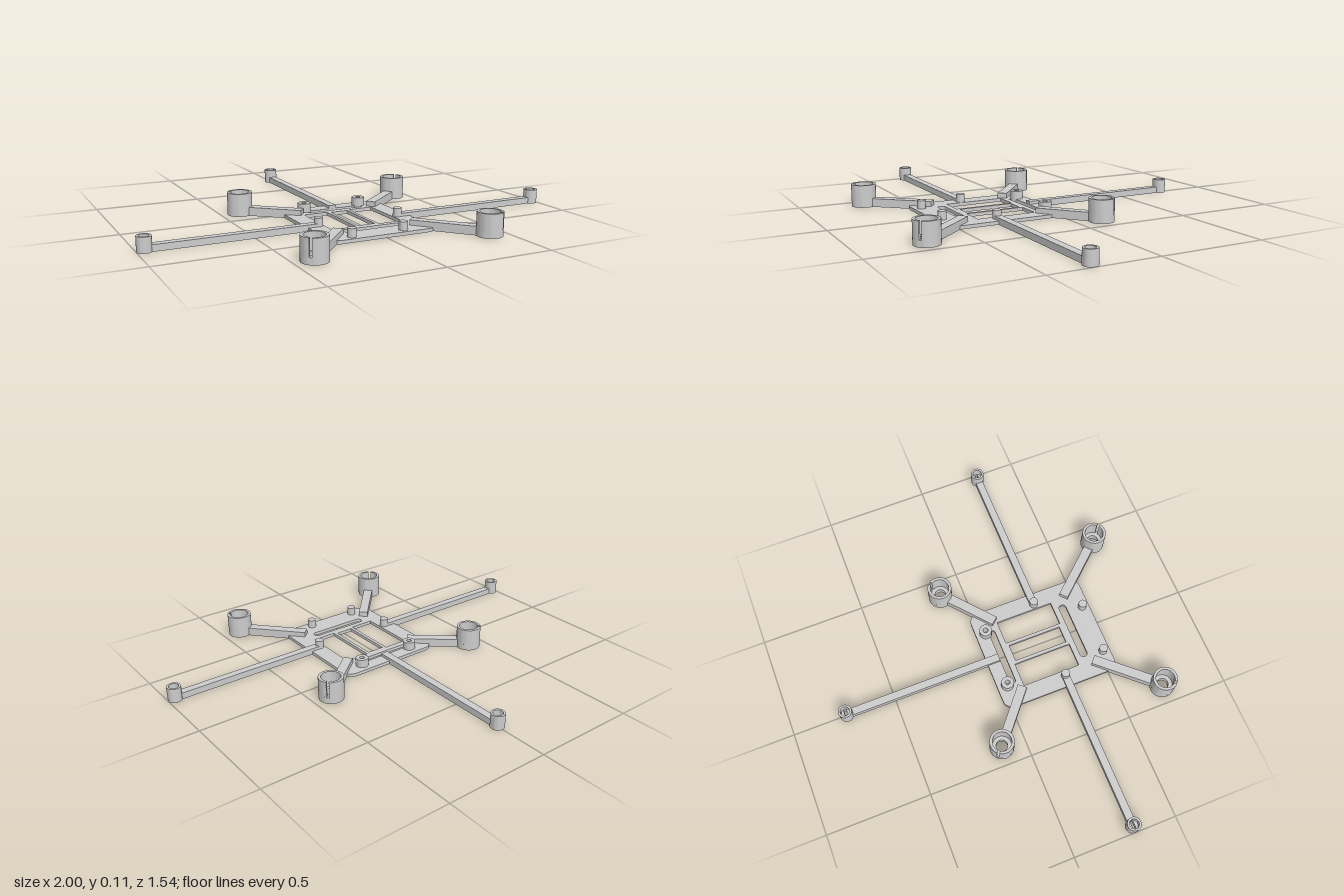
import * as THREE from 'three';
import { toCreasedNormals } from 'three/addons/utils/BufferGeometryUtils.js';

const frameGrey = new THREE.MeshStandardMaterial({ color: 0xcccccc });
frameGrey.name = 'frameGrey';

// Extrude a plan outline drawn in (x, z) upward from y0 by h
function slab(name, shape, y0, h) {
  const geo = new THREE.ExtrudeGeometry(shape, { depth: h, bevelEnabled: false, curveSegments: 20 });
  geo.rotateX(Math.PI / 2).translate(0, y0 + h, 0);
  const mesh = new THREE.Mesh(toCreasedNormals(geo, 0.6), frameGrey);
  mesh.name = name;
  return mesh;
}

// Rounded rectangle outline from corner to corner
function roundRect(x0, z0, x1, z1, r, Type = THREE.Path) {
  const p = new Type();
  p.moveTo(x0 + r, z0);
  p.lineTo(x1 - r, z0);
  if (r) p.absarc(x1 - r, z0 + r, r, -Math.PI / 2, 0, false);
  p.lineTo(x1, z1 - r);
  if (r) p.absarc(x1 - r, z1 - r, r, 0, Math.PI / 2, false);
  p.lineTo(x0 + r, z1);
  if (r) p.absarc(x0 + r, z1 - r, r, Math.PI / 2, Math.PI, false);
  p.lineTo(x0, z0 + r);
  if (r) p.absarc(x0 + r, z0 + r, r, Math.PI, Math.PI * 1.5, false);
  return p;
}

function disc(r, hole) {
  const s = new THREE.Shape();
  s.absarc(0, 0, r, 0, Math.PI * 2, false);
  if (hole) s.holes.push(hole);
  return s;
}

function circle(r, x = 0, z = 0) {
  const p = new THREE.Path();
  p.absarc(x, z, r, 0, Math.PI * 2, true);
  return p;
}

// Straight bar between two plan points
function bar(name, x0, z0, x1, z1, width, height) {
  const dx = x1 - x0, dz = z1 - z0;
  const mesh = new THREE.Mesh(new THREE.BoxGeometry(Math.hypot(dx, dz), height, width), frameGrey);
  mesh.position.set((x0 + x1) / 2, height / 2, (z0 + z1) / 2);
  mesh.rotation.y = -Math.atan2(dz, dx);
  mesh.name = name;
  return mesh;
}

// Motor cup: pierced floor and a wall split on its +x side
function motorCup(x, z, angle) {
  const cup = new THREE.Group();
  cup.name = 'motorCup';
  const R = 0.058, r = 0.045, gap = 0.006;
  const a = Math.asin(gap / R), b = Math.asin(gap / r);
  const wall = new THREE.Shape();
  wall.absarc(0, 0, R, a, Math.PI * 2 - a, false);
  wall.absarc(0, 0, r, Math.PI * 2 - b, b, true);
  cup.add(slab('cupFloor', disc(R, circle(0.027)), 0, 0.03), slab('cupWall', wall, 0.03, 0.077));
  cup.position.set(x, 0, z);
  cup.rotation.y = -angle;
  return cup;
}

// Small socket at the tip of a long arm, with a slotted floor
function armSocket(x, z) {
  const socket = new THREE.Group();
  socket.name = 'armSocket';
  const slot = roundRect(-0.019, -0.007, 0.019, 0.007, 0.002);
  socket.add(
    slab('socketFloor', disc(0.032, slot), 0, 0.03),
    slab('socketWall', disc(0.032, circle(0.022)), 0.03, 0.038));
  socket.position.set(x, 0, z);
  return socket;
}

function post(name, x, z, r, hole) {
  const mesh = slab(name, disc(r, hole), 0.001, 0.054);
  mesh.position.set(x, 0, z);
  return mesh;
}

export function createModel() {
  const model = new THREE.Group();
  model.name = 'droneFrame';

  // Centre plate with windows, strap slots and screw holes
  const plate = roundRect(-0.255, -0.028, 0.255, 0.552, 0.045, THREE.Shape);
  plate.holes.push(
    roundRect(-0.175, 0.095, -0.058, 0.38, 0),
    roundRect(-0.042, 0.105, 0.042, 0.37, 0),
    roundRect(0.058, 0.095, 0.175, 0.38, 0),
    roundRect(-0.145, 0.407, 0.145, 0.443, 0.017),
    roundRect(-0.145, 0.037, 0.145, 0.067, 0.014),
    circle(0.012, -0.143, 0.022),
    circle(0.012, 0.143, 0.022));
  model.add(slab('centrePlate', plate, 0, 0.016));

  // Diagonal motor arms, mirrored left and right
  for (const s of [-1, 1]) {
    for (const [cz, ez] of [[-0.114, 0.083], [0.71, 0.45]]) {
      const cx = 0.412, ex = 0.18;
      const len = Math.hypot(cx - ex, cz - ez);
      const ux = (cx - ex) / len, uz = (cz - ez) / len;
      model.add(bar('motorArm', s * ex, ez, s * (cx - ux * 0.05), cz - uz * 0.05, 0.045, 0.04));
      model.add(motorCup(s * cx, cz, Math.atan2(uz, s * ux)));
    }
    // Long side arms
    model.add(bar('sideArm', s * 0.2, 0.298, s * 0.942, 0.298, 0.036, 0.03));
    model.add(armSocket(s * 0.968, 0.298));
    model.add(post('sidePost', s * 0.2, 0.298, 0.02));
    model.add(post('rearPost', s * 0.143, 0.022, 0.03, circle(0.012)));
  }

  // Long rear arm
  model.add(bar('rearArm', 0, 0.035, 0, -0.714, 0.036, 0.03));
  model.add(armSocket(0, -0.739));

  // Front posts
  for (const x of [-0.15, 0.1]) model.add(post('frontPost', x, 0.517, 0.02));

  return model;
}
